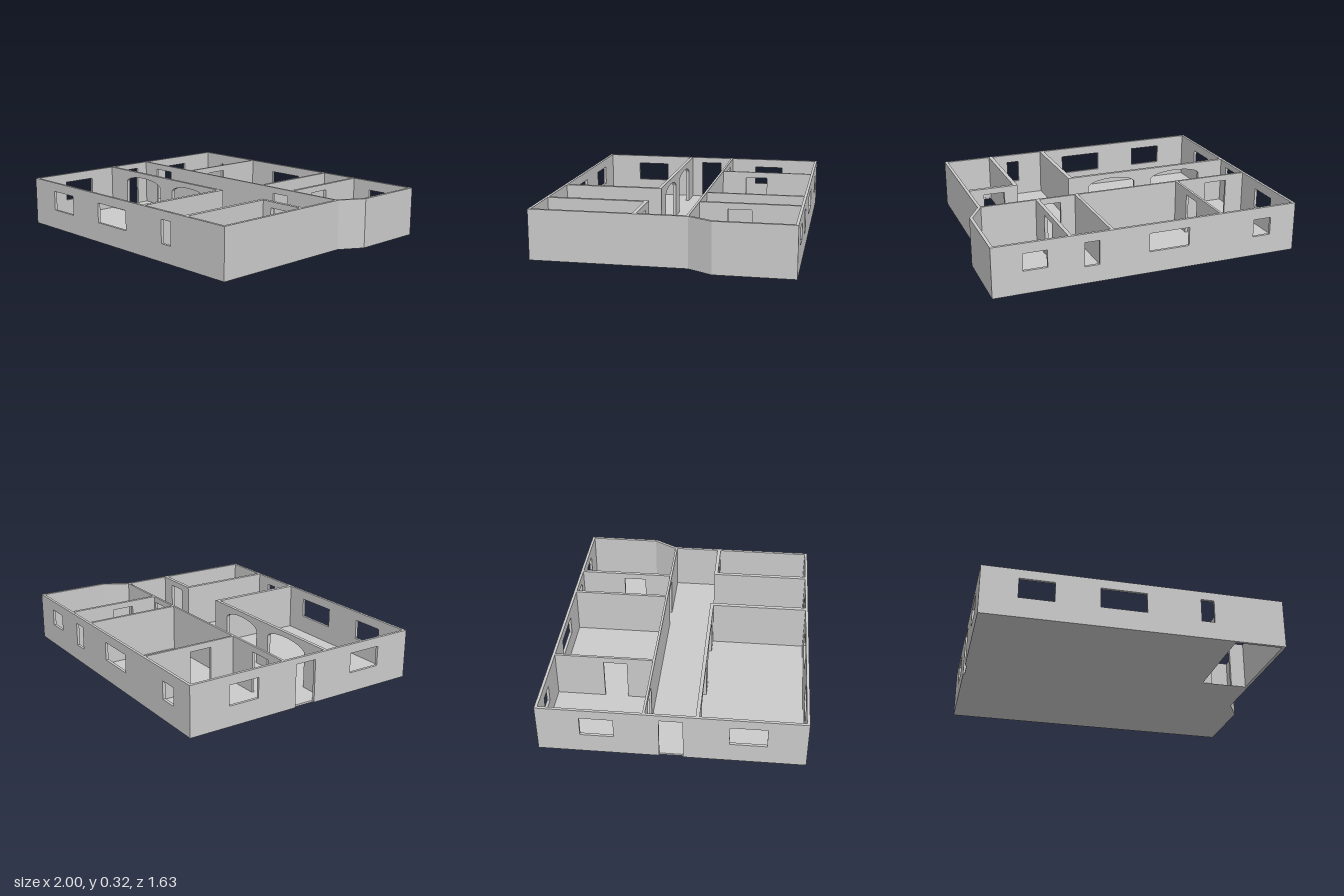
import * as THREE from 'three';

const H = 0.32;      // wall height
const DOOR = 0.28;   // door head height
const SPRING = 0.235, PEAK = 0.285; // arch heights

export function createModel() {
  const model = new THREE.Group();
  const material = new THREE.MeshStandardMaterial({ color: 0xcccccc, flatShading: true });

  const add = (name, geometry) => {
    const mesh = new THREE.Mesh(geometry, material);
    mesh.name = name;
    model.add(mesh);
    return mesh;
  };

  // Wall face from a to b: doors and arches are notches, windows are holes.
  function wallGeometry(a, b, thickness, { doors = [], arches = [], windows = [] }) {
    const shape = new THREE.Shape();
    shape.moveTo(a, 0);
    for (const [l, r] of doors) {
      shape.lineTo(l, 0);
      shape.lineTo(l, DOOR);
      shape.lineTo(r, DOOR);
      shape.lineTo(r, 0);
    }
    for (const [l, r] of arches) {
      shape.lineTo(l, 0);
      shape.lineTo(l, SPRING);
      shape.absellipse((l + r) / 2, SPRING, (r - l) / 2, PEAK - SPRING, Math.PI, 0, true);
      shape.lineTo(r, 0);
    }
    shape.lineTo(b, 0);
    shape.lineTo(b, H);
    shape.lineTo(a, H);
    shape.closePath();
    for (const [l, r, low, high] of windows) {
      shape.holes.push(new THREE.Path([
        [l, low], [l, high], [r, high], [r, low],
      ].map(([x, y]) => new THREE.Vector2(x, y))));
    }
    return new THREE.ExtrudeGeometry(shape, { depth: thickness, bevelEnabled: false, curveSegments: 16 });
  }

  // Wall running along x between z0 and z1
  const wallX = (name, a, b, z0, z1, openings = {}) =>
    add(name, wallGeometry(a, b, z1 - z0, openings).translate(0, 0, z0));

  // Wall running along z between x0 and x1
  const wallZ = (name, a, b, x0, x1, openings = {}) =>
    add(name, wallGeometry(a, b, x1 - x0, openings).rotateY(-Math.PI / 2).translate(x1, 0, 0));

  // Plan outline of [x, z] points raised to a height
  function plan(name, points, height, hole) {
    const toVectors = (list) => list.map(([x, z]) => new THREE.Vector2(x, -z));
    const shape = new THREE.Shape(toVectors(points));
    if (hole) shape.holes.push(new THREE.Path(toVectors(hole)));
    const geometry = new THREE.ExtrudeGeometry(shape, { depth: height, bevelEnabled: false });
    return add(name, geometry.rotateX(-Math.PI / 2));
  }

  // Floor, open in the front corner room
  plan('floor',
    [[-0.99, -0.81], [0.99, -0.81], [0.99, -0.325], [0.9, -0.175], [0.9, 0.805], [-0.99, 0.805]],
    0.012,
    [[0.585, 0.17], [0.89, 0.17], [0.89, 0.795], [0.585, 0.795]]);

  // Outer walls
  wallX('frontWall', -1, 0.91, 0.797, 0.815, {
    windows: [[-0.77, -0.55, 0.13, 0.26], [-0.27, 0.02, 0.13, 0.26], [0.365, 0.45, 0.115, 0.265]],
  });
  wallX('backWall', -1, 1, -0.82, -0.802, {
    windows: [[-0.825, -0.705, 0.13, 0.245], [-0.255, 0.01, 0.14, 0.26],
      [0.335, 0.43, 0.11, 0.265], [0.66, 0.81, 0.145, 0.255]],
  });
  wallZ('entranceWall', -0.82, 0.815, -1, -0.982, {
    doors: [[-0.075, 0.07]],
    windows: [[-0.555, -0.35, 0.13, 0.26], [0.35, 0.575, 0.13, 0.26]],
  });
  plan('angledSideWall',
    [[1, -0.82], [1, -0.325], [0.91, -0.17], [0.91, 0.815],
      [0.89, 0.815], [0.89, -0.175], [0.98, -0.33], [0.98, -0.82]], H);

  // Back rooms
  wallX('corridorWall', -0.99, 0.9, -0.172, -0.157, { doors: [[-0.85, -0.69], [0.36, 0.49]] });
  wallZ('backPartition1', -0.81, -0.16, -0.482, -0.466, { doors: [[-0.49, -0.34]] });
  wallZ('backPartition2', -0.81, -0.16, 0.24, 0.26);
  wallZ('backPartition3', -0.81, -0.16, 0.505, 0.528, { doors: [[-0.5, -0.35]] });

  // Large front room with two arches
  wallX('archedWall', -0.99, 0.195, 0.145, 0.168, { arches: [[-0.8, -0.42], [-0.295, 0.05]] });
  wallZ('largeRoomSideWall', 0.145, 0.805, 0.167, 0.195);

  // Front corner room
  wallX('cornerRoomBackWall', 0.558, 0.9, 0.145, 0.17, { doors: [[0.65, 0.79]] });
  wallZ('cornerRoomSideWall', 0.145, 0.805, 0.558, 0.585);

  return model;
}
